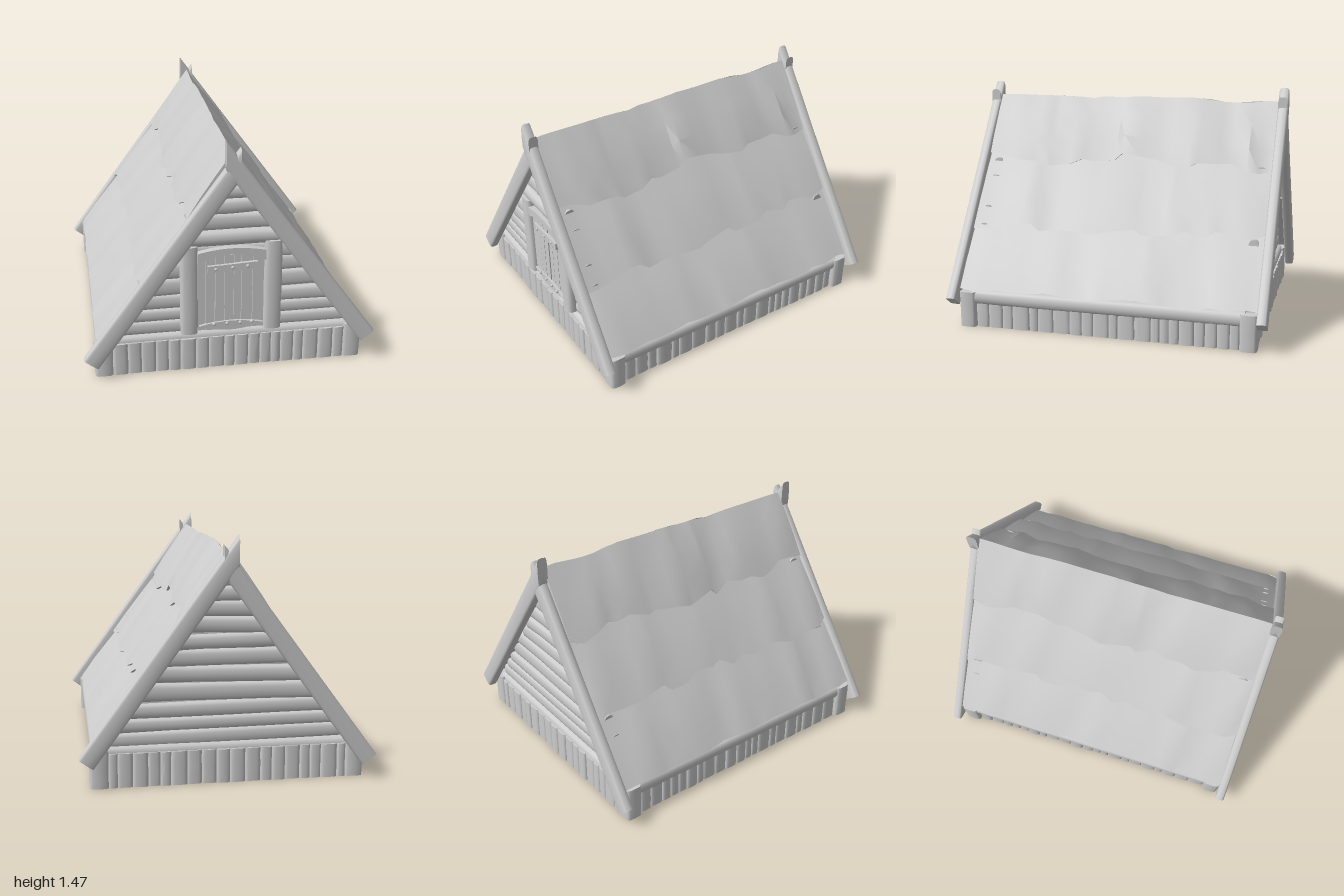
import * as THREE from 'three';
import { toCreasedNormals } from 'three/addons/utils/BufferGeometryUtils.js';

export function createModel() {
  const model = new THREE.Group();
  const mat = new THREE.MeshStandardMaterial({ color: 0xcccccc, side: THREE.DoubleSide });
  let seed = 7;
  const rand = (a, b) => {
    seed = (seed * 16807) % 2147483647;
    return a + (b - a) * (seed / 2147483647);
  };
  const V = (x, y, z) => new THREE.Vector3(x, y, z);

  const add = (name, geo, parent = model) => {
    const mesh = new THREE.Mesh(geo, mat);
    mesh.name = name;
    parent.add(mesh);
    return mesh;
  };
  const group = (name) => {
    const g = new THREE.Group();
    g.name = name;
    model.add(g);
    return g;
  };

  // Log from a to b: rx and rz are the cross-section radii, slightly uneven along its
  // length; a power below 1 squares off the round section
  const logGeo = (a, b, rx, rz, wobble = 0.08, power = 0.65) => {
    const len = a.distanceTo(b), segs = 4;
    const g = new THREE.CylinderGeometry(1, 1, len, 16, segs);
    const k = Array.from({ length: segs + 1 }, () => 1 - rand(0, wobble));
    const p = g.attributes.position;
    const square = (v) => (Math.abs(v) < 1e-6 ? 0 : Math.sign(v) * Math.abs(v) ** power);
    for (let i = 0; i < p.count; i++) {
      const s = k[Math.round((p.getY(i) / len + 0.5) * segs)];
      p.setXYZ(i, square(p.getX(i)) * rx * s, p.getY(i), square(p.getZ(i)) * rz * s);
    }
    const q = new THREE.Quaternion().setFromUnitVectors(V(0, 1, 0), b.clone().sub(a).normalize());
    g.applyQuaternion(q);
    const m = a.clone().add(b).multiplyScalar(0.5);
    g.translate(m.x, m.y, m.z);
    return toCreasedNormals(g, 0.9);
  };

  // Widths that fill a run from a to b, passed to fn as (centre, width)
  const fillRun = (a, b, count, fn) => {
    const w = Array.from({ length: count }, () => rand(0.65, 1.35));
    const scale = (b - a) / w.reduce((s, v) => s + v, 0);
    let at = a;
    for (const v of w) {
      fn(at + v * scale / 2, v * scale);
      at += v * scale;
    }
  };

  // Base: vertical skirt boards, corner posts, sill beams
  const base = group('base');
  for (const s of [-1, 1]) {
    fillRun(-0.71, 0.71, 18, (x, w) => add('endSkirtBoard',
      logGeo(V(x, 0, s * 0.912), V(x, 0.205, s * 0.912), w * 0.52, rand(0.016, 0.025), 0.06), base));
    fillRun(-0.83, 0.83, 21, (z, w) => add('sideSkirtBoard',
      logGeo(V(s * 0.777, 0, z), V(s * 0.777, 0.2, z), rand(0.014, 0.023), w * 0.52, 0.06), base));
    for (const t of [-1, 1]) add('cornerPost',
      logGeo(V(s * 0.763, 0, t * 0.884), V(s * 0.763, 0.225, t * 0.884), 0.057, 0.055, 0.04, 0.45), base);
    add('sideSill', logGeo(V(s * 0.76, 0.19, -0.86), V(s * 0.76, 0.19, 0.86), 0.051, 0.05, 0.04, 0.8), base);
    add('endSill', logGeo(V(-0.75, 0.2, s * 0.875), V(0.75, 0.2, s * 0.875), 0.045, 0.045, 0.05, 0.8), base);
  }

  // Floor logs running from side to side
  const floor = group('floor');
  fillRun(-0.84, 0.84, 17, (z, w) => {
    const y = 0.195 + rand(-0.015, 0.015);
    add('floorLog', logGeo(V(-0.73, y, z), V(0.73, y, z), 0.025, w * 0.47), floor);
  });

  // Gable walls of stacked logs
  const rows = [0.235, 0.32, 0.4, 0.49, 0.6, 0.7, 0.8, 0.89, 0.99, 1.08, 1.165, 1.25];
  for (const s of [-1, 1]) {
    const wall = group(s > 0 ? 'frontGable' : 'backGable');
    for (let i = 0; i < rows.length - 1; i++) {
      const y = (rows[i] + rows[i + 1]) / 2, r = (rows[i + 1] - rows[i]) * 0.53;
      const h = (1.31 - y) / 1.41, tilt = rand(-0.01, 0.01);
      add('wallLog', logGeo(V(-h, y - tilt, s * 0.87), V(h, y + tilt, s * 0.87), r, rand(0.028, 0.042), 0.12, 0.7), wall);
    }
    // Backing that closes the gaps between the logs
    const tri = new THREE.Shape([new THREE.Vector2(-0.77, 0.2), new THREE.Vector2(0.77, 0.2), new THREE.Vector2(0, 1.3)]);
    add('wallBacking', new THREE.ShapeGeometry(tri).translate(0, 0, s * 0.865), wall);
  }

  // Crossing barge poles; the upper ends are cut upright past the ridge
  const barge = group('bargePoles');
  for (const s of [-1, 1]) for (const side of [1, -1]) {
    const drop = side > 0 ? 0 : 0.05;
    const a = V(side * 0.84, 0.168 - drop, s * 0.967), b = V(-side * 0.043, 1.375 - drop, s * 0.967);
    const g = logGeo(a, b, 0.054, side > 0 ? 0.033 : 0.031, 0.03, 0.42);
    const d = b.clone().sub(a).normalize(), p = g.attributes.position;
    for (let i = 0; i < p.count; i++) {
      if (p.getY(i) < 1.2 - drop) continue;
      const t = (b.x - p.getX(i)) / d.x;
      p.setXY(i, b.x, p.getY(i) + d.y * t);
    }
    add('bargePole', toCreasedNormals(g, 0.9), barge);
  }

  // Roof: three overlapping courses a side, folded down the slope, with ragged lower edges
  const roof = group('roof');
  const N = 20, ridge = Array.from({ length: N + 1 }, () => rand(-0.012, 0.012));
  const courses = [[0, 1.38, 0.26, 0.995, 1], [0.205, 1.04, 0.54, 0.605, 0.8], [0.47, 0.66, 0.8, 0.24, 0.7]];
  const nx = 0.81, ny = 0.58, thick = 0.014;
  for (const side of [1, -1]) courses.forEach(([x0, y0, x1, y1, amount], c) => {
    const pos = [], idx = [], M = 6;
    let edge = 0;
    for (let j = 0; j <= N; j++) {
      const inner = j > 0 && j < N;
      const z = -0.94 + 1.88 * j / N + (inner ? rand(-0.035, 0.035) : 0);
      edge = edge * 0.45 + rand(-0.035, 0.04) * (c === 2 ? 0.3 : 1);
      const ex = x1 + edge * 0.6, ey = Math.max(y1 - edge * 0.85, 0.232);
      const fold = inner ? amount * rand(-0.006, 0.024) : 0, top = c === 0 ? ridge[j] : 0;
      const at = (t, off) => [x0 + (ex - x0) * t + nx * off, y0 + top + (ey - y0 - top) * t + ny * off];
      const ring = [c ? at(0, 0) : [0, y0 + top], at(0.35, fold * 0.7 + 0.004), at(0.7, fold + 0.005), at(1, fold * 0.6),
        at(0.985, fold * 0.6 - thick), c ? at(0, -thick) : [0, y0 + top - 0.03]];
      for (const [x, y] of ring) pos.push(side * x, y, z);
      if (j < N) for (let k = 0; k < M; k++) {
        const p = j * M + k, q = j * M + (k + 1) % M;
        if (side > 0) idx.push(p, p + M, q, q, p + M, q + M);
        else idx.push(p, q, p + M, q, q + M, p + M);
      }
    }
    // End caps
    for (let k = 1; k < M - 1; k++) {
      const e = N * M;
      if (side > 0) idx.push(0, k, k + 1, e, e + k + 1, e + k);
      else idx.push(0, k + 1, k, e, e + k, e + k + 1);
    }
    const g = new THREE.BufferGeometry();
    g.setAttribute('position', new THREE.Float32BufferAttribute(pos, 3));
    g.setIndex(idx);
    add('roofCourse', toCreasedNormals(g, 0.5), roof);
  });

  // Door with frame, battens and pegs
  const door = group('door');
  add('doorPost', logGeo(V(-0.247, 0.24, 0.9), V(-0.247, 0.81, 0.9), 0.056, 0.045), door);
  add('doorPost', logGeo(V(0.257, 0.24, 0.9), V(0.257, 0.82, 0.9), 0.057, 0.045), door);
  add('doorHeader', logGeo(V(-0.31, 0.845, 0.885), V(0.31, 0.845, 0.885), 0.05, 0.045, 0.04, 0.85), door);
  const slab = (name, shape, z, depth) => {
    const g = new THREE.ExtrudeGeometry(shape, { depth, bevelEnabled: false, curveSegments: 10 });
    return add(name, toCreasedNormals(g.translate(0, 0, z), 0.6), door);
  };
  const arch = new THREE.Shape();
  arch.moveTo(-0.2, 0.7);
  arch.quadraticCurveTo(0, 0.8, 0.21, 0.7);
  arch.lineTo(0.21, 0.765);
  arch.quadraticCurveTo(0, 0.815, -0.2, 0.765);
  slab('doorArch', arch, 0.88, 0.055);
  fillRun(-0.195, 0.205, 7, (x, w) => {
    const g = new THREE.BoxGeometry(w - 0.003, 0.49, 0.03);
    add('doorPlank', g.translate(x, 0.495, 0.9 + rand(-0.004, 0.004)), door);
  });
  const foot = new THREE.Shape();
  foot.moveTo(-0.19, 0.285);
  foot.quadraticCurveTo(0, 0.335, 0.2, 0.285);
  foot.quadraticCurveTo(0, 0.215, -0.19, 0.285);
  slab('lowerBatten', foot, 0.91, 0.02);
  const batten = new THREE.BoxGeometry(0.3, 0.045, 0.02);
  add('upperBatten', batten.rotateZ(0.05).translate(0.012, 0.665, 0.925), door);
  const peg = (x, y) => add('peg', new THREE.SphereGeometry(0.011, 8, 6).translate(x, y, 0.934), door);
  for (const x of [-0.09, 0.01, 0.1]) peg(x, 0.665 + x * 0.05);
  for (const x of [-0.1, -0.02, 0.06, 0.13]) peg(x, 0.297);

  return model;
}
